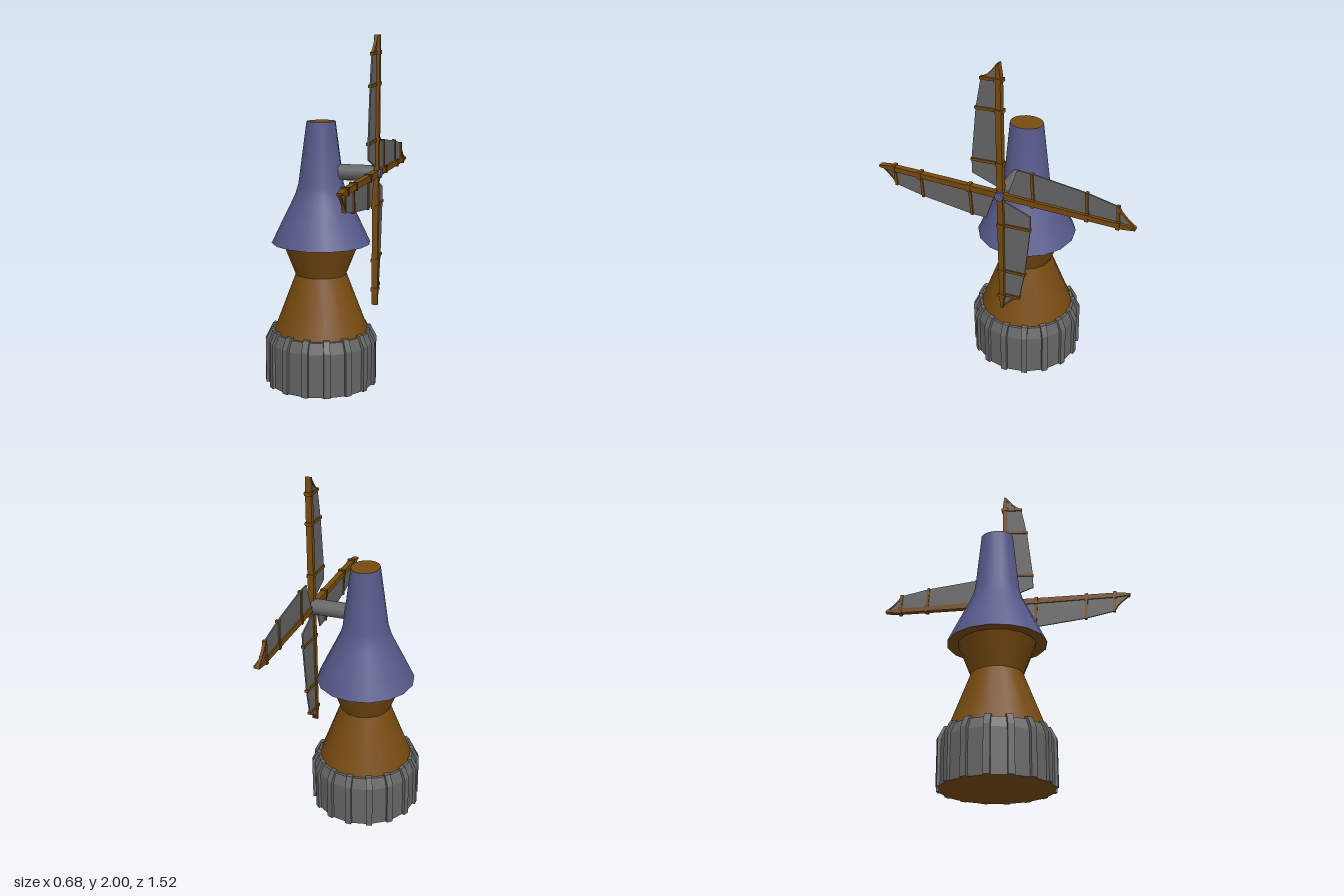
import * as THREE from 'three';
import { toCreasedNormals } from 'three/addons/utils/BufferGeometryUtils.js';

const SIDES = 16;
const AXIS_X = -0.016;   // tower axis
const HUB_Y = 1.24;

const material = (name, color, side = THREE.FrontSide) => {
  const m = new THREE.MeshStandardMaterial({ color, side });
  m.name = name;
  return m;
};

function add(parent, name, geometry, mat, x = 0, y = 0, z = 0) {
  const mesh = new THREE.Mesh(geometry, mat);
  mesh.name = name;
  mesh.position.set(x, y, z);
  parent.add(mesh);
  return mesh;
}

const lathe = (pts) => new THREE.LatheGeometry(pts.map(([r, y]) => new THREE.Vector2(r, y)), SIDES);

// Flat outline given as [across, along], extruded along x: across -> +z, along -> +y
function plate(pts, x0, x1) {
  const shape = new THREE.Shape(pts.map(([a, b]) => new THREE.Vector2(a, b)));
  const g = new THREE.ExtrudeGeometry(shape, { depth: x1 - x0, bevelEnabled: false });
  g.rotateY(-Math.PI / 2);
  return g.translate(x1, 0, 0);
}

export function createModel() {
  const stone = material('grey', 0x666666, THREE.DoubleSide);
  const wood = material('brown', 0x774b10);
  const slate = material('blue', 0x565a8a);
  const model = new THREE.Group();
  model.name = 'windmill';

  const tower = new THREE.Group();
  tower.name = 'tower';
  tower.position.x = AXIS_X;
  model.add(tower);

  // Stone base with a chamfered top and upright ribs on its corners
  const base = lathe([[0.312, 0], [0.312, 0.25], [0.288, 0.312], [0.25, 0.312]]);
  add(tower, 'base', toCreasedNormals(base, 0.3), stone);
  const floor = new THREE.CircleGeometry(0.314, SIDES).rotateX(Math.PI / 2);
  add(tower, 'baseUnderside', floor, wood);
  for (let i = 0; i < SIDES; i++) {
    // profile in radius (z) and height (y), thickness across x
    const rib = plate([[0.27, 0.001], [0.325, 0.001], [0.325, 0.262], [0.293, 0.325], [0.27, 0.325]], -0.018, 0.018);
    add(tower, 'baseRib', rib, stone).rotation.y = (i / SIDES) * Math.PI * 2;
  }

  // Timber body, pinched at the waist
  add(tower, 'lowerBody', lathe([[0.276, 0.3], [0.27, 0.325], [0.148, 0.645]]), wood);
  add(tower, 'upperBody', lathe([[0.148, 0.645], [0.222, 0.832]]), wood);

  // Flared roof, turning slightly oval towards the top
  const roof = lathe([[0.285, 0.83], [0.225, 0.955], [0.168, 1.07], [0.147, 1.115], [0.13, 1.17], [0.081, 1.525]]);
  const p = roof.attributes.position;
  for (let i = 0; i < p.count; i++) {
    const t = Math.max(0, (p.getY(i) - 1.17) / 0.355);
    p.setZ(i, p.getZ(i) * (1 + 0.17 * t));
  }
  roof.computeVertexNormals();
  add(tower, 'roof', toCreasedNormals(roof, 0.7), slate);
  const eaves = new THREE.RingGeometry(0.21, 0.285, SIDES, 1).rotateX(Math.PI / 2);
  add(tower, 'eavesUnderside', eaves, wood, 0, 0.83);
  const cap = new THREE.CircleGeometry(0.081, SIDES).rotateX(-Math.PI / 2).scale(1, 1, 1.17);
  add(tower, 'roofCap', cap, wood, 0, 1.525);

  // Axle and hub
  const axle = new THREE.CylinderGeometry(0.046, 0.046, 0.25, 12).rotateZ(Math.PI / 2);
  add(model, 'axle', axle, stone, 0.175, HUB_Y);
  const hub = new THREE.CylinderGeometry(0.028, 0.028, 0.055, 6).rotateZ(Math.PI / 2);
  add(model, 'hub', hub, slate, 0.308, HUB_Y);

  // Four identical blades around the hub
  const spar = plate([[-0.018, 0], [0.018, 0], [0.015, 0.66], [0.012, 0.71], [0.008, 0.755], [-0.004, 0.76], [-0.014, 0.69]], 0.288, 0.322);
  const sail = plate([[0, 0.035], [0.172, 0.095], [0.172, 0.18], [0.138, 0.487], [0.105, 0.655],
    [0.07, 0.675], [0.04, 0.705], [0.012, 0.742], [0, 0.75]], 0.296, 0.304);
  const tipEdge = plate([[0.105, 0.65], [0.108, 0.66], [0.072, 0.682], [0.042, 0.712], [0.008, 0.755],
    [0.008, 0.74], [0.04, 0.702], [0.07, 0.672]], 0.292, 0.308);
  const battens = [[0.18, 0.174], [0.487, 0.142], [0.657, 0.108]];

  for (let k = 0; k < 4; k++) {
    const blade = new THREE.Group();
    blade.name = 'blade';
    blade.position.y = HUB_Y;
    blade.rotation.x = (k * Math.PI) / 2;
    model.add(blade);
    add(blade, 'spar', spar, wood);
    add(blade, 'sail', sail, stone);
    add(blade, 'sailTip', tipEdge, wood);
    for (const [along, reach] of battens) {
      add(blade, 'sparBand', new THREE.BoxGeometry(0.042, 0.02, 0.044), wood, 0.305, along + 0.01);
      const batten = add(blade, 'batten', new THREE.BoxGeometry(0.022, 0.016, reach), wood, 0.3, along + 0.005, reach / 2);
      batten.rotation.x = 0.06;
    }
  }
  return model;
}
